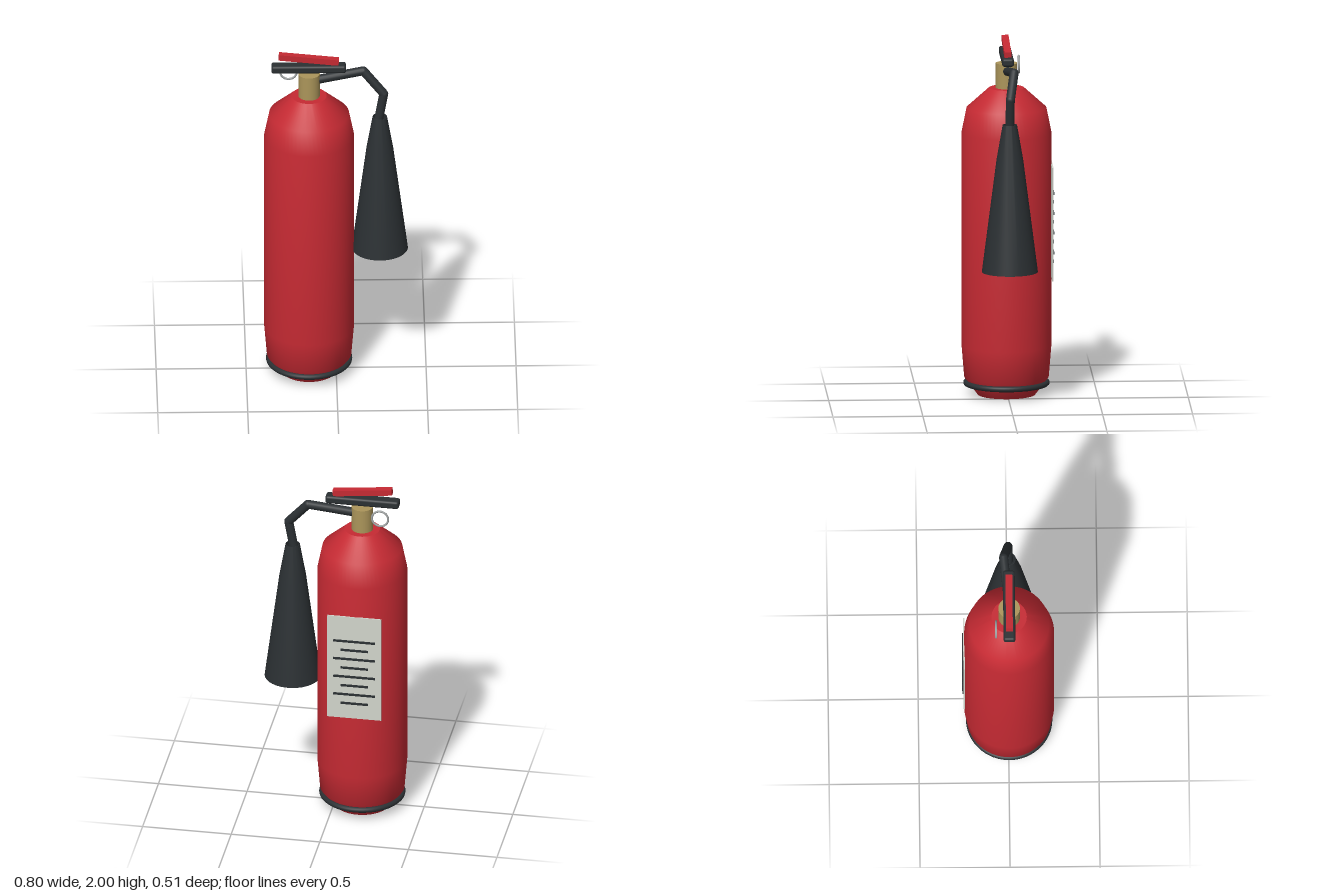
import * as THREE from 'three';
import { toCreasedNormals } from 'three/addons/utils/BufferGeometryUtils.js';
import { RoundedBoxGeometry } from 'three/addons/geometries/RoundedBoxGeometry.js';

const mat = (color) => new THREE.MeshStandardMaterial({ color });
const AXIS_X = -0.15, AXIS_Z = 0.004;

export function createModel() {
  const red = mat(0xc62a33), dark = mat(0x2b3033), brass = mat(0xab955a);
  const steel = mat(0xa0a4a4), paper = mat(0xd2d5cc);
  const group = new THREE.Group();

  const add = (name, geometry, material, x, y, z, parent = group) => {
    const mesh = new THREE.Mesh(geometry, material);
    mesh.name = name;
    mesh.position.set(x, y, z);
    parent.add(mesh);
    return mesh;
  };
  const lathe = (points, segments) => toCreasedNormals(
    new THREE.LatheGeometry(points.map(([r, y]) => new THREE.Vector2(r, y)), segments), 0.7);

  // Cylinder body with tapered foot and shoulder
  add('body', lathe([
    [0, 0], [0.16, 0], [0.235, 0.1], [0.25, 0.28],
    [0.25, 1.48], [0.222, 1.62], [0.098, 1.732], [0, 1.732],
  ], 64), red, AXIS_X, 0, AXIS_Z);

  // Rubber ring around the foot
  const ring = add('baseRing', new THREE.TorusGeometry(0.224, 0.016, 12, 64), dark, AXIS_X, 0.067, AXIS_Z);
  ring.rotation.x = Math.PI / 2;

  // Valve neck, carrying handle and squeeze lever
  add('valveNeck', new THREE.CylinderGeometry(0.06, 0.06, 0.15, 32), brass, AXIS_X, 1.797, AXIS_Z);
  add('handle', new RoundedBoxGeometry(0.415, 0.046, 0.066, 3, 0.014), dark, -0.152, 1.908, AXIS_Z);
  const lever = add('lever', new THREE.BoxGeometry(0.335, 0.034, 0.038), red, -0.152, 1.964, AXIS_Z);
  lever.rotation.z = -0.11;

  // Safety pin ring
  add('pinRing', new THREE.TorusGeometry(0.046, 0.006, 10, 32), steel, -0.263, 1.843, -0.07);

  // Bent hose: straight pipes joined by round elbows
  const hose = new THREE.Group();
  hose.name = 'hose';
  group.add(hose);
  const path = [[-0.13, 1.828, 0.004], [0.152, 1.87, -0.024], [0.265, 1.738, 0.002], [0.238, 1.585, 0.004]]
    .map((p) => new THREE.Vector3(...p));
  const up = new THREE.Vector3(0, 1, 0);
  for (let i = 0; i < path.length - 1; i++) {
    const dir = path[i + 1].clone().sub(path[i]);
    const mid = path[i].clone().addScaledVector(dir, 0.5);
    const pipe = add('hosePipe', new THREE.CylinderGeometry(0.025, 0.025, dir.length(), 16),
      dark, mid.x, mid.y, mid.z, hose);
    pipe.quaternion.setFromUnitVectors(up, dir.normalize());
    if (i > 0) add('hoseElbow', new THREE.SphereGeometry(0.025, 16, 12), dark, ...path[i].toArray(), hose);
  }

  // Hollow discharge horn, open at both ends
  const hornMaterial = dark.clone();
  hornMaterial.side = THREE.DoubleSide;
  add('horn', lathe([
    [0.037, 1.595], [0.066, 1.4], [0.128, 0.765], [0.156, 0.765], [0.074, 1.4], [0.04, 1.595], [0.037, 1.595],
  ], 48), hornMaterial, 0.243, 0, AXIS_Z);

  // Instruction plate on the back with alternating long and short lines
  add('labelPlate', new THREE.BoxGeometry(0.305, 0.64, 0.008), paper, AXIS_X, 0.983, -0.2475);
  for (let i = 0; i < 8; i++) {
    const width = i % 2 ? 0.155 : 0.235;
    add('labelLine', new THREE.BoxGeometry(width, 0.012, 0.006), dark, AXIS_X, 1.15 - i * 0.056, -0.2545);
  }

  return group;
}
